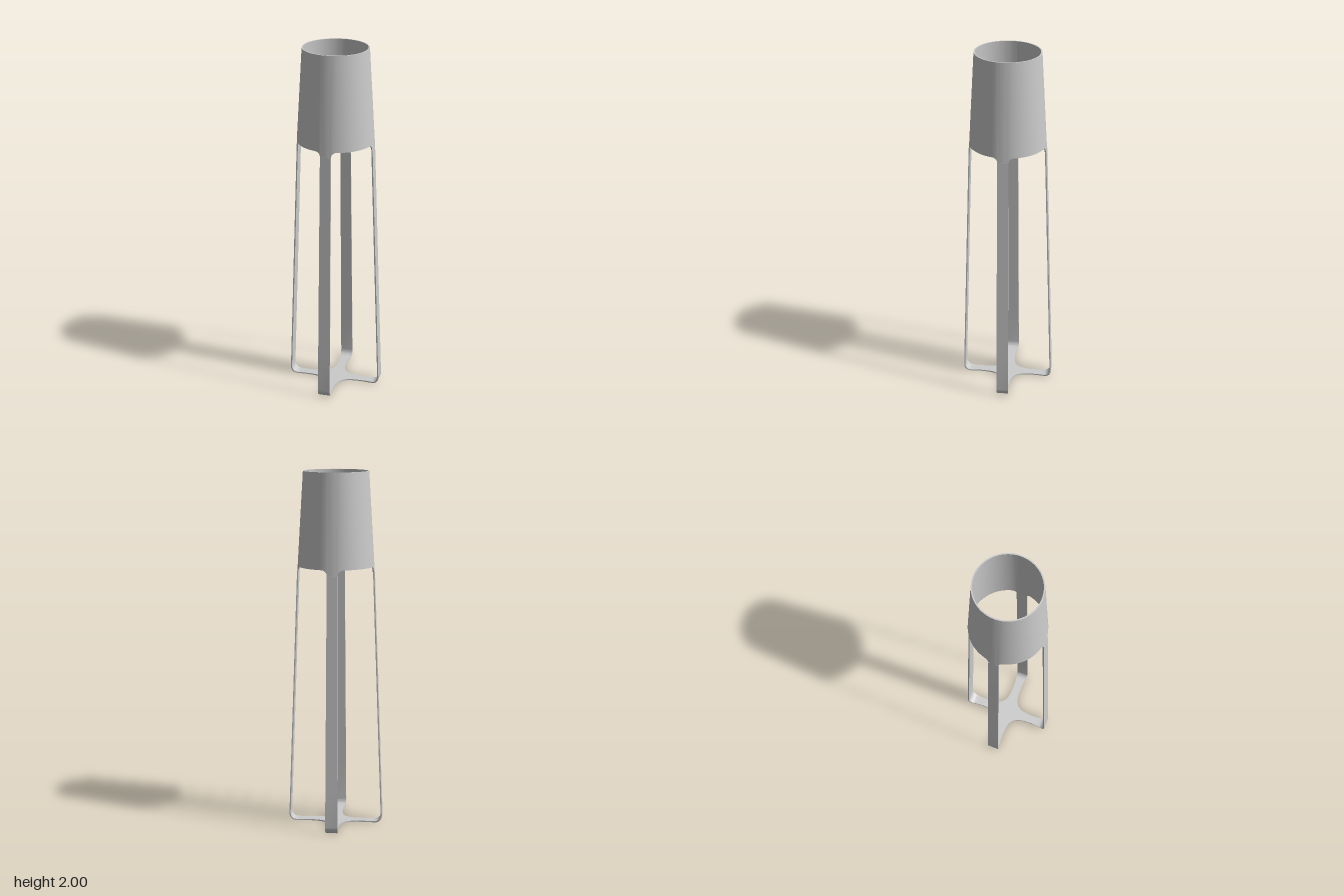
import * as THREE from 'three';
import { toCreasedNormals } from 'three/addons/utils/BufferGeometryUtils.js';

const T = 0.007;        // sheet thickness
const TWIST = -0.146;   // legs sit slightly off the axes
const COLLAR_Y = 1.48;  // lower edge of the collar
const LEG_TOP = 1.45;   // where the legs meet the collar fillets

// Skin between equal-sized cross-section loops, with end caps if not a ring
function loft(sections, ring) {
  const k = sections[0].length, n = sections.length, index = [];
  for (let i = 0; i < (ring ? n : n - 1); i++) {
    const p = i * k, q = ((i + 1) % n) * k;
    for (let j = 0; j < k; j++) {
      const m = (j + 1) % k;
      index.push(p + j, p + m, q + m, p + j, q + m, q + j);
    }
  }
  if (!ring) {
    const e = (n - 1) * k;
    index.push(0, 2, 1, 0, 3, 2, e, e + 1, e + 2, e, e + 2, e + 3);
  }
  const g = new THREE.BufferGeometry();
  g.setAttribute('position', new THREE.Float32BufferAttribute(sections.flat(2), 3));
  g.setIndex(index);
  return g;
}

// Slightly narrower front to back towards the foot; then crisp edges
function finish(geometry, angle) {
  geometry.rotateY(angle);
  const p = geometry.attributes.position;
  for (let i = 0; i < p.count; i++) p.setZ(i, p.getZ(i) * (0.97 + 0.015 * p.getY(i)));
  geometry.computeVertexNormals();
  return toCreasedNormals(geometry, 0.6);
}

// Tapered tube whose lower edge runs down into each leg with a round fillet
function collarGeometry() {
  const rTop = 0.181, rLow = 0.213, leg = 0.03 / rLow, fillet = 0.03 / rLow;
  const columns = [];
  for (let i = 0; i < 4; i++) columns.push([-leg + (2 * leg * i) / 4, LEG_TOP]);
  const arc = i => {
    const a = (i / 8) * Math.PI / 2;
    return [leg + fillet * (1 - Math.cos(a)), LEG_TOP + (COLLAR_Y - LEG_TOP) * Math.sin(a)];
  };
  for (let i = 0; i <= 8; i++) columns.push(arc(i));
  const start = leg + fillet, end = Math.PI / 2 - start;
  for (let i = 1; i < 16; i++) columns.push([start + ((end - start) * i) / 16, COLLAR_Y]);
  for (let i = 8; i > 0; i--) {
    const [a, y] = arc(i);
    columns.push([Math.PI / 2 - a, y]);
  }
  const sections = [];
  for (let q = 0; q < 4; q++) {
    for (const [a, y] of columns) {
      const t = a + q * Math.PI / 2, r = rLow + 0.04 * (COLLAR_Y - y);
      sections.push([[rTop, 2], [r, y], [r - T, y], [rTop - T, 2]]
        .map(([d, h]) => [d * Math.sin(t), h, d * Math.cos(t)]));
    }
  }
  return loft(sections, true);
}

// Flat strap: out along the base, round the heel, up to the collar
function legGeometry() {
  const R = 0.043, cx = 0.224, stations = [];
  // outer radius, height, outward normal angle, half width
  stations.push([0.2, 0, -Math.PI / 2, 0.0262]);
  for (let i = 0; i <= 10; i++) {
    const a = (i / 10 - 1) * Math.PI / 2;
    stations.push([cx + R * Math.cos(a), R + R * Math.sin(a), a, 0.0285 + 0.0065 * Math.min(1, i / 6)]);
  }
  for (let i = 1; i <= 6; i++) {
    const s = i / 6;
    stations.push([0.267 - 0.0528 * s, R + (LEG_TOP - R) * s, 0.038, 0.035 - 0.005 * s]);
  }
  return loft(stations.map(([r, y, a, w]) => {
    const ri = r - T * Math.cos(a), yi = y - T * Math.sin(a);
    return [[-w, y, r], [w, y, r], [w, yi, ri], [-w, yi, ri]];
  }), false);
}

// Four-armed base plate with concave sides between the arms
function baseGeometry() {
  const half = [[0.0262, 0.2], [0.025, 0.175], [0.0255, 0.14], [0.029, 0.105], [0.037, 0.076]];
  const side = [...half, [0.053, 0.053], ...half.map(([u, r]) => [r, u]).reverse()];
  const curve = new THREE.SplineCurve(side.map(([u, r]) => new THREE.Vector2(u, r)));
  const outline = [];
  for (let q = 0; q < 4; q++) {
    for (const p of curve.getPoints(40)) {
      outline.push(p.clone().rotateAround(new THREE.Vector2(), -q * Math.PI / 2));
    }
  }
  const g = new THREE.ExtrudeGeometry(new THREE.Shape(outline), { depth: T, bevelEnabled: false });
  return g.rotateX(Math.PI / 2).translate(0, T, 0);
}

export function createModel() {
  const model = new THREE.Group();
  model.name = 'cageHolder';
  const material = new THREE.MeshStandardMaterial({ color: 0xcccccc });
  const add = (name, geometry, angle = TWIST) => {
    const mesh = new THREE.Mesh(finish(geometry, angle), material);
    mesh.name = name;
    model.add(mesh);
  };

  add('collar', collarGeometry());
  add('basePlate', baseGeometry());
  ['frontLeg', 'leftLeg', 'backLeg', 'rightLeg'].forEach((name, i) =>
    add(name, legGeometry(), TWIST + i * Math.PI / 2));
  return model;
}
